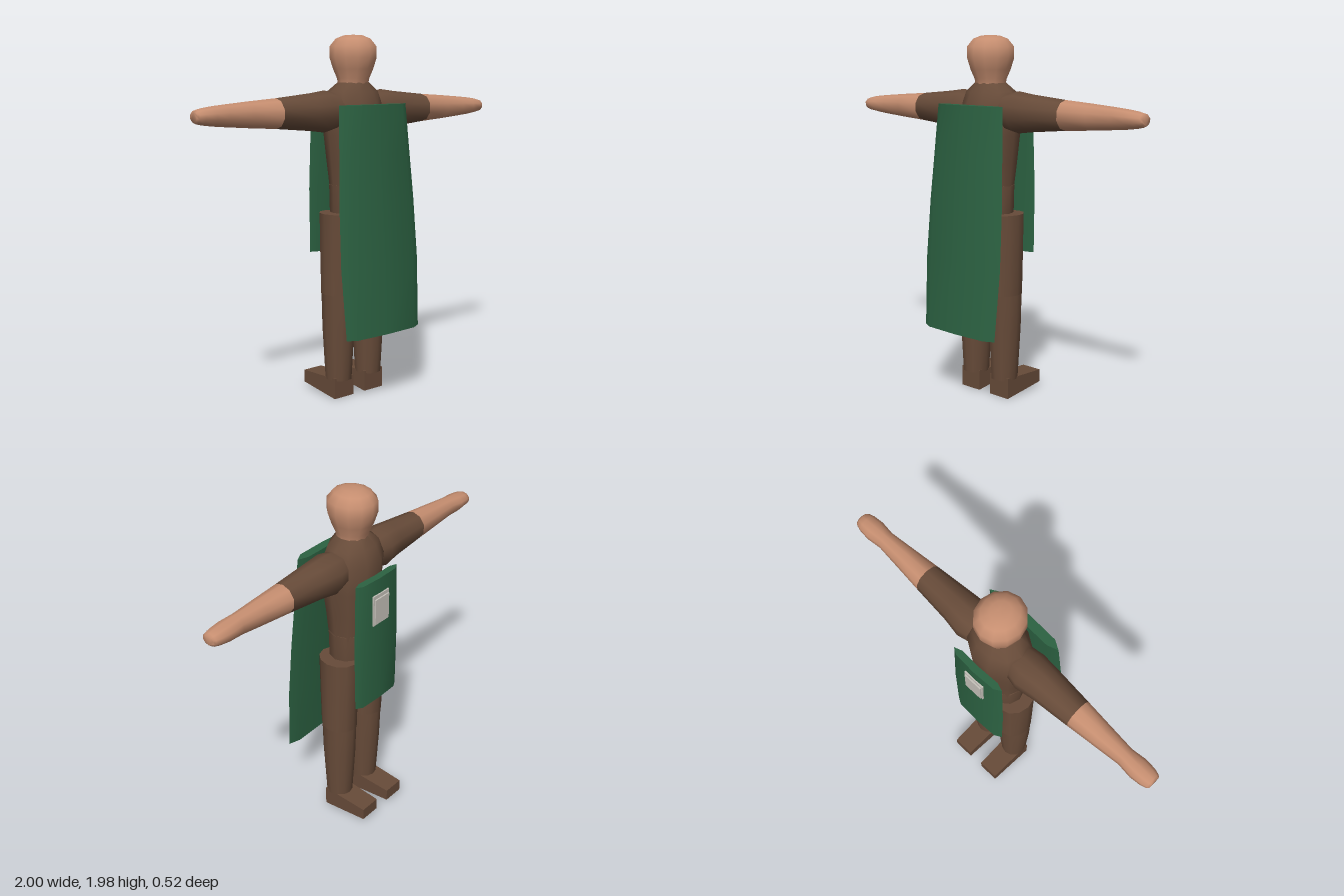
import * as THREE from 'three';
import { toCreasedNormals } from 'three/addons/utils/BufferGeometryUtils.js';

const paint = (name, color) => {
  const m = new THREE.MeshStandardMaterial({ color });
  m.name = name;
  return m;
};

// Skin a stack of equal-sized point rings (rising in y) and cap both ends.
function loft(rings, crease = 0.85) {
  const n = rings[0].length, pos = [], index = [];
  rings.forEach(r => r.forEach(p => pos.push(...p)));
  for (let i = 0; i < rings.length - 1; i++) {
    for (let j = 0; j < n; j++) {
      const a = i * n + j, b = i * n + (j + 1) % n;
      index.push(a, b, b + n, a, b + n, a + n);
    }
  }
  const top = (rings.length - 1) * n;
  for (let j = 1; j < n - 1; j++) {
    index.push(0, j + 1, j, top, top + j, top + j + 1);
  }
  const g = new THREE.BufferGeometry();
  g.setAttribute('position', new THREE.Float32BufferAttribute(pos, 3));
  g.setIndex(index);
  return toCreasedNormals(g, crease);
}

// Elliptical ring: height, x radius, z radius, z centre, x centre.
const oval = sides => ([y, rx, rz, cz = -0.028, cx = 0]) =>
  Array.from({ length: sides }, (_, j) => {
    const t = (j / sides) * Math.PI * 2;
    return [cx + rx * Math.cos(t), y, cz - rz * Math.sin(t)];
  });

// Flattened lens outline used by both hanging cloth panels.
const LENS = [[1, -0.008], [0.74, -0.028], [0, -0.022], [-0.74, -0.028],
  [-1, -0.008], [-0.78, 0.022], [0, 0.03], [0.78, 0.022]];
const panelRing = depth => ([y, halfWidth, cz]) => {
  const ring = LENS.map(([x, z]) => [x * halfWidth, y, cz + z * depth]);
  return depth < 0 ? ring.reverse() : ring;
};

export function createModel() {
  const model = new THREE.Group();
  const skin = paint('skin', 0xc68e70);
  const cloth = paint('brown cloth', 0x674b39);
  const green = paint('green cloth', 0x2c6242);
  const pale = paint('pale plate', 0xc6c2ba);

  const add = (name, geometry, material) => {
    const mesh = new THREE.Mesh(geometry, material);
    mesh.name = name;
    model.add(mesh);
    return mesh;
  };

  // Head, tapering down into the neck
  add('head', loft([
    [1.72, 0.083, 0.083], [1.75, 0.088, 0.09], [1.8, 0.108, 0.114], [1.86, 0.127, 0.133],
    [1.92, 0.125, 0.133], [1.96, 0.092, 0.1], [1.977, 0.05, 0.055], [1.98, 0.01, 0.01],
  ].map(oval(12)), 1.2), skin);

  // Torso and hips
  add('torso', loft([
    [1.12, 0.138, 0.11], [1.18, 0.142, 0.113], [1.3, 0.152, 0.13, -0.03], [1.45, 0.17, 0.146],
    [1.6, 0.175, 0.15, -0.034], [1.68, 0.15, 0.118, -0.034], [1.73, 0.083, 0.083],
  ].map(oval(10))), cloth);
  add('hips', loft([
    [0.98, 0.13, 0.105], [1.03, 0.14, 0.11], [1.18, 0.143, 0.114],
  ].map(oval(12))), cloth);

  for (const s of [1, -1]) {
    const side = s > 0 ? 'left' : 'right';

    // Arms: lofted upward, then laid out sideways
    const arm = (name, stations, material) => {
      const g = loft(stations.map(oval(10)), 0.95);
      g.rotateZ(-s * Math.PI / 2);
      g.translate(0, 1.578, 0);
      add(`${side}${name}`, g, material);
    };
    arm('Sleeve', [
      [0.1, 0.09, 0.09], [0.2, 0.111, 0.107, -0.033], [0.3, 0.098, 0.095], [0.515, 0.078, 0.077],
    ], cloth);
    arm('ForearmAndHand', [
      [0.515, 0.078, 0.077], [0.68, 0.067, 0.061], [0.82, 0.056, 0.048], [0.9, 0.049, 0.058],
      [0.96, 0.041, 0.053], [0.99, 0.034, 0.044], [1, 0.025, 0.035],
    ], skin);

    // Legs
    const cx = s * 0.108;
    add(`${side}Thigh`, loft([
      [0.585, 0.092, 0.104, -0.028, cx], [0.8, 0.095, 0.109, -0.028, cx],
      [1.03, 0.097, 0.113, -0.028, cx],
    ].map(oval(12))), cloth);
    add(`${side}Shin`, loft([
      [0.1, 0.072, 0.077, -0.028, cx], [0.4, 0.088, 0.094, -0.028, cx],
      [0.6, 0.091, 0.101, -0.028, cx],
    ].map(oval(12))), cloth);

    // Wedge foot with a lifted, narrower toe
    const foot = new THREE.BoxGeometry(0.135, 0.115, 0.28);
    foot.translate(s * 0.108, 0.0575, -0.12);
    const p = foot.attributes.position;
    for (let i = 0; i < p.count; i++) {
      if (p.getZ(i) > -0.2) continue;
      p.setY(i, p.getY(i) > 0.05 ? 0.1 : 0.03);
      p.setX(i, cx + (p.getX(i) - cx) * 0.9);
    }
    foot.computeVertexNormals();
    add(`${side}Foot`, foot, cloth);
  }

  // Long panel hanging on the +z side, swinging outward at the hem
  add('longCape', loft([
    [0.39, 0.26, 0.23], [0.77, 0.274, 0.203], [1.1, 0.265, 0.179],
    [1.35, 0.25, 0.161], [1.615, 0.235, 0.142],
  ].map(panelRing(1))), green);

  // Short panel on the -z side
  add('shortPanel', loft([
    [0.795, 0.17, -0.203], [1.15, 0.176, -0.2], [1.54, 0.165, -0.195],
  ].map(panelRing(-0.75))), green);

  // Pale plate fixed on the short panel
  const plate = (name, w, h, d, y, z) =>
    add(name, new THREE.BoxGeometry(w, h, d), pale).position.set(0, y, z);
  plate('plateBacking', 0.125, 0.175, 0.012, 1.367, -0.219);
  plate('plateFace', 0.108, 0.145, 0.009, 1.362, -0.2285);

  return model;
}
